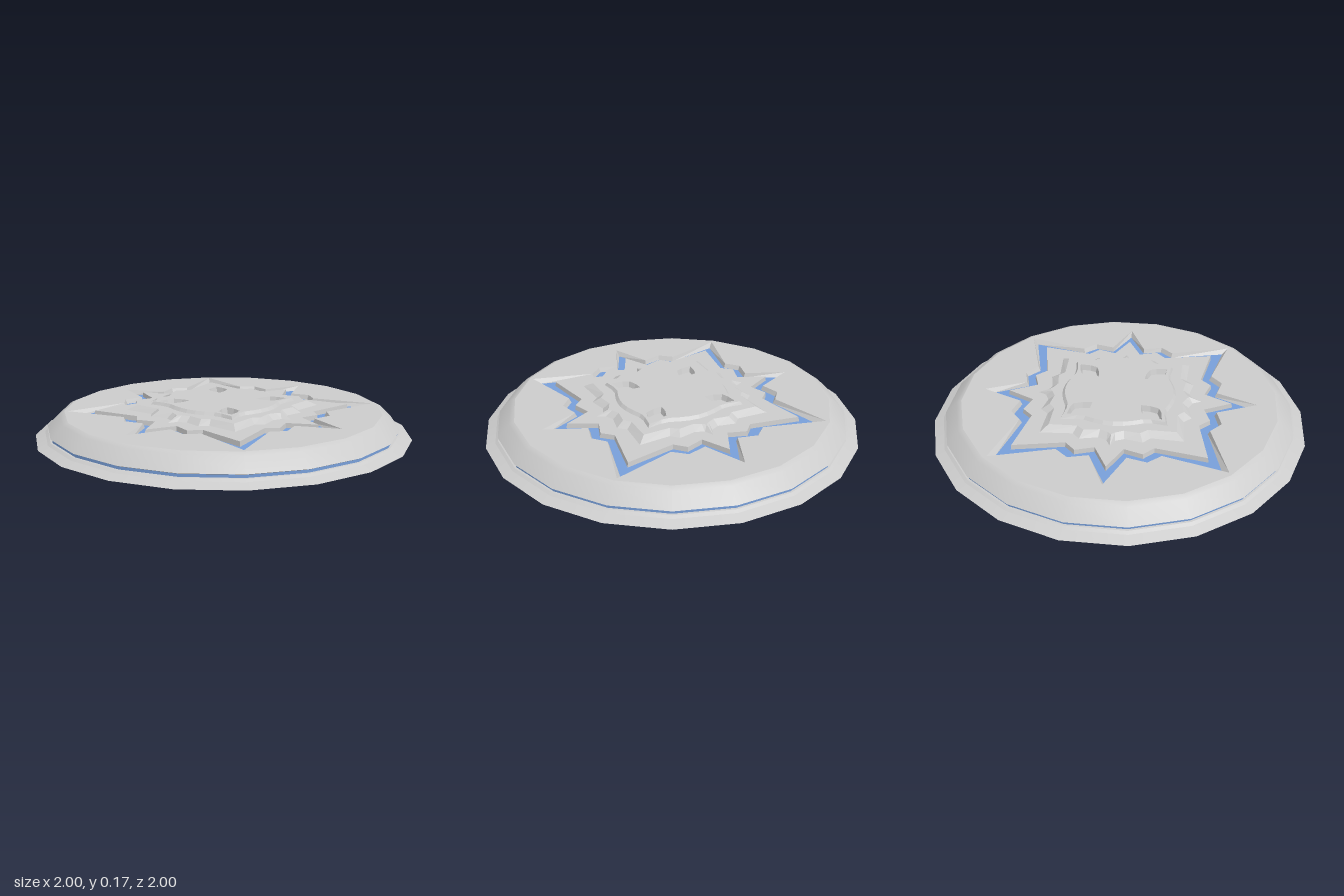
import * as THREE from 'three';

const TILT = 8.5; // the whole emblem is turned by this many degrees
const TOP = 0.126;

const grey = new THREE.MeshStandardMaterial({ color: 0xcccccc, side: THREE.DoubleSide });
const facet = new THREE.MeshStandardMaterial({ color: 0xcccccc, side: THREE.DoubleSide, flatShading: true });
const blue = new THREE.MeshStandardMaterial({ color: 0x789fd9, side: THREE.DoubleSide });

// Plan point: angle in degrees clockwise from the back, second axis points to -z
function polar(deg, r) {
  const a = THREE.MathUtils.degToRad(deg);
  return new THREE.Vector2(r * Math.sin(a), r * Math.cos(a));
}

// Closed outline from [angle, radius] pairs over 0..45 degrees, mirrored and repeated four times
function emblem(pairs) {
  const mirrored = pairs.slice(1, -1).reverse().map(([a, r]) => [90 - a, r]);
  const points = [];
  for (let q = 0; q < 4; q++) {
    for (const [a, r] of [...pairs, ...mirrored]) points.push(polar(a + q * 90 + TILT, r));
  }
  return points;
}

// Strip between an outer and an inner outline with equal point counts
function strip(name, outer, y0, inner, y1, material = facet) {
  const pos = [];
  const n = outer.length;
  const put = (p, y) => pos.push(p.x, y, -p.y);
  for (let i = 0; i < n; i++) {
    const j = (i + 1) % n;
    put(outer[j], y0); put(outer[i], y0); put(inner[i], y1);
    put(outer[j], y0); put(inner[i], y1); put(inner[j], y1);
  }
  const g = new THREE.BufferGeometry();
  g.setAttribute('position', new THREE.Float32BufferAttribute(pos, 3));
  g.computeVertexNormals();
  const mesh = new THREE.Mesh(g, material);
  mesh.name = name;
  return mesh;
}

// Flat face with optional holes
function face(name, outline, holes, y) {
  const shape = new THREE.Shape(outline);
  for (const h of holes) shape.holes.push(new THREE.Path(h));
  const g = new THREE.ShapeGeometry(shape).rotateX(-Math.PI / 2).translate(0, y, 0);
  const mesh = new THREE.Mesh(g, grey);
  mesh.name = name;
  return mesh;
}

function ring(name, profile, material = grey) {
  const points = profile.map(([r, y]) => new THREE.Vector2(r, y));
  const mesh = new THREE.Mesh(new THREE.LatheGeometry(points, 20), material);
  mesh.name = name;
  return mesh;
}

// Leaf-shaped outline on one diagonal, shrunk by inset
function leaf(quarter, inset) {
  const k = 1 - inset / 0.055;
  const side = [[0.082, 0], [0.035, 0.037], [0, 0.053], [-0.045, 0.032], [-0.083, 0]];
  const all = [...side, ...side.slice(1, -1).reverse().map(([u, v]) => [u, -v])];
  const a = THREE.MathUtils.degToRad(45 + TILT + quarter * 90);
  return all.map(([u, v]) => {
    const r = 0.263 + u * k, t = v * k;
    return new THREE.Vector2(r * Math.sin(a) + t * Math.cos(a), r * Math.cos(a) - t * Math.sin(a));
  });
}

export function createModel() {
  const model = new THREE.Group();
  model.name = 'roundPlatform';

  // Open-bottomed twenty-sided body
  model.add(
    ring('foot', [[1, 0], [0.95, 0.02]]),
    ring('footLip', [[0.95, 0.02], [0.935, 0.03]]),
    ring('bandLedge', [[0.935, 0.03], [0.925, 0.031]]),
    ring('rimBand', [[0.925, 0.031], [0.925, 0.045]], blue),
    ring('bandLip', [[0.925, 0.045], [0.935, 0.05]]),
    ring('slope', [[0.935, 0.05], [0.872, 0.114], [0.845, TOP]]),
  );

  // Star groove with a coloured floor
  const floorY = TOP - 0.025;
  const grooveEdge = emblem([[0, 0.735], [10, 0.53], [19.5, 0.582], [28, 0.555], [45, 0.825]]);
  const floorOuter = emblem([[0, 0.695], [10, 0.52], [19.5, 0.57], [28, 0.543], [45, 0.78]]);
  const floorInner = emblem([[0, 0.605], [9, 0.465], [19, 0.52], [27, 0.49], [45, 0.688]]);
  const islandEdge = emblem([[0, 0.6], [9, 0.462], [19, 0.516], [27, 0.486], [45, 0.683]]);
  const deck = Array.from({ length: 20 }, (_, i) => polar(i * 18, 0.845));
  model.add(
    face('deck', deck, [grooveEdge], TOP),
    strip('grooveOuterWall', grooveEdge, TOP, floorOuter, floorY),
    strip('starBand', floorOuter, floorY, floorInner, floorY, blue),
    strip('grooveInnerWall', floorInner, floorY, islandEdge, TOP),
  );

  // Raised plate with bevelled, spurred outline
  const plateY = 0.152;
  const plateBase = emblem([[0, 0.44], [3, 0.395], [10, 0.38], [22, 0.425], [29, 0.405], [45, 0.515]]);
  const plateTop = emblem([[0, 0.375], [3, 0.36], [10, 0.345], [22, 0.38], [29, 0.367], [45, 0.458]]);
  model.add(
    face('island', islandEdge, [plateBase], TOP),
    strip('plateBevel', plateBase, TOP, plateTop, plateY),
  );

  // Upper disc with four pointed corners
  const discY = 0.168;
  const discPairs = [[0, 0.305], [10, 0.304], [20, 0.304], [30, 0.308], [37, 0.33], [45, 0.388]];
  const discBase = emblem(discPairs);
  const discTop = emblem(discPairs.map(([a, r]) => [a, r - 0.014]));
  const quarters = [0, 1, 2, 3];
  model.add(
    face('plateLedge', plateTop, [discBase], plateY),
    strip('discBevel', discBase, plateY, discTop, discY),
    face('discTop', discTop, quarters.map((q) => leaf(q, 0)), discY),
  );

  // Leaf-shaped recesses on the diagonals
  for (const q of quarters) {
    const pocket = new THREE.Group();
    pocket.name = 'leafRecess';
    pocket.add(
      strip('leafWall', leaf(q, 0), discY, leaf(q, 0.01), discY - 0.03),
      face('leafFloor', leaf(q, 0.01), [], discY - 0.03),
    );
    model.add(pocket);
  }
  return model;
}
